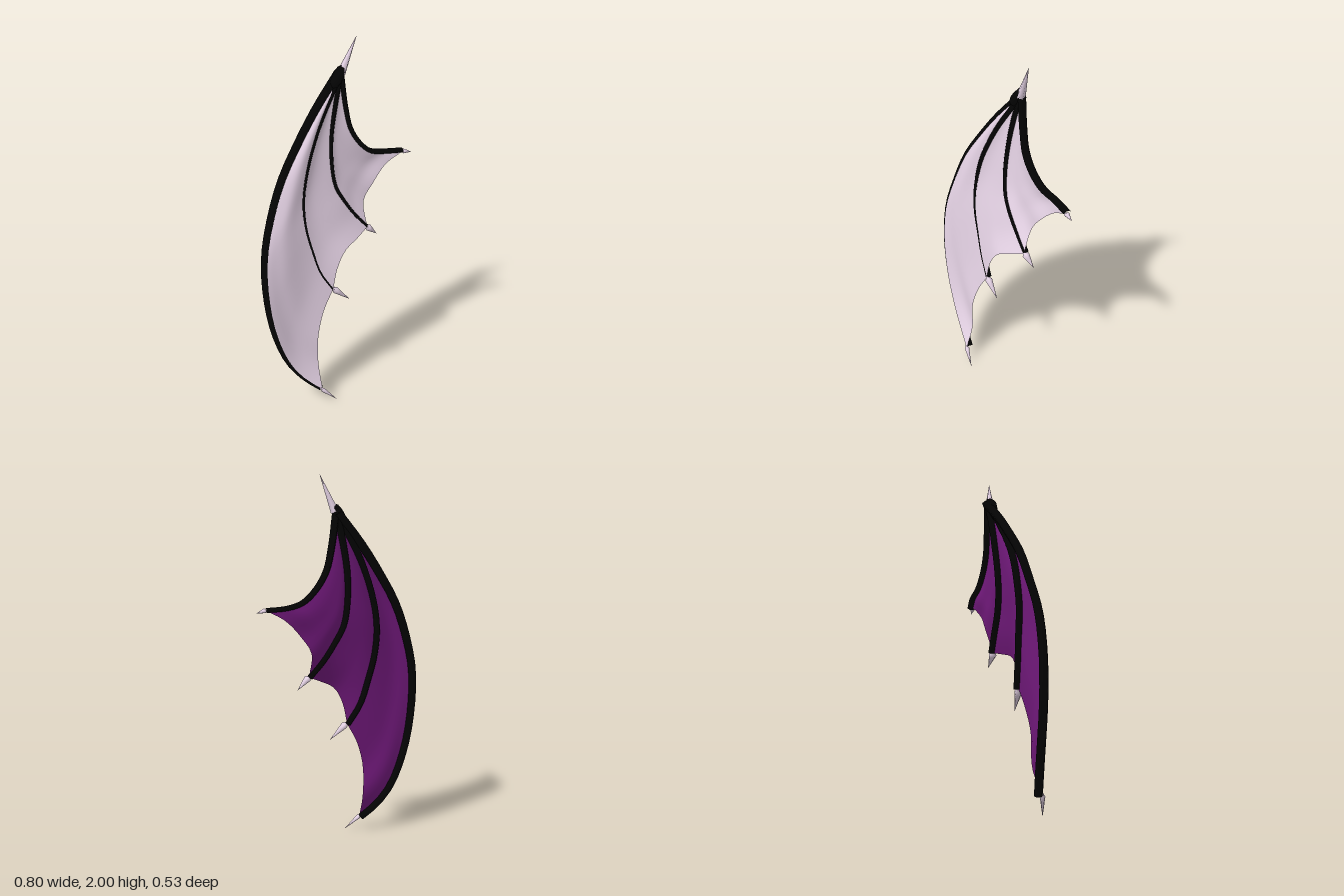
import * as THREE from 'three';

const V = (x, y, z) => new THREE.Vector3(x, y, z);
// direction the wing's inner face looks towards
const N = V(0.55, 0, 0.83).normalize();
const curve = pts => new THREE.CatmullRomCurve3(pts.map(p => V(...p)));

function makeGeometry(pos, idx) {
  const g = new THREE.BufferGeometry();
  g.setAttribute('position', new THREE.Float32BufferAttribute(pos, 3));
  g.setIndex(idx);
  g.computeVertexNormals();
  return g;
}

// elliptical section swept along a path; size(t) scales the section
function sweep(path, steps, sides, width, depth, offset, size) {
  const pos = [], idx = [];
  for (let i = 0; i <= steps; i++) {
    const t = i / steps, c = path.getPointAt(t).addScaledVector(N, offset);
    const T = path.getTangentAt(t);
    const S = T.clone().cross(N).normalize();
    const D = S.clone().cross(T).normalize();
    for (let k = 0; k < sides; k++) {
      const a = (k / sides) * Math.PI * 2, r = size(t);
      const p = c.clone().addScaledVector(D, Math.cos(a) * depth * r)
        .addScaledVector(S, Math.sin(a) * width * r);
      pos.push(p.x, p.y, p.z);
    }
  }
  for (let i = 0; i < steps; i++) for (let k = 0; k < sides; k++) {
    const n = (k + 1) % sides;
    const a = i * sides + k, b = i * sides + n, c = b + sides, d = a + sides;
    idx.push(a, b, c, a, c, d);
  }
  return makeGeometry(pos, idx);
}

// skin stretched between two bones, ending in a scalloped edge
function membrane(A, B, edge, billow, lift, flip) {
  const nu = 14, nt = 28, pos = [], idx = [];
  const a1 = A.getPointAt(1), b1 = B.getPointAt(1);
  for (let i = 0; i <= nu; i++) for (let j = 0; j <= nt; j++) {
    const u = i / nu, t = j / nt;
    const p = A.getPointAt(t).lerp(B.getPointAt(t), u);
    const pull = edge.getPointAt(u).sub(a1.clone().lerp(b1, u));
    p.addScaledVector(pull, t ** 3);
    p.addScaledVector(N, lift + billow * Math.sin(Math.PI * u) * Math.sin(Math.PI * t));
    pos.push(p.x, p.y, p.z);
  }
  for (let i = 0; i < nu; i++) for (let j = 0; j < nt; j++) {
    const a = i * (nt + 1) + j, b = a + 1, d = a + nt + 1, c = d + 1;
    if (flip) idx.push(a, c, b, a, d, c);
    else idx.push(a, b, c, a, c, d);
  }
  return makeGeometry(pos, idx);
}

export function createModel() {
  const wing = new THREE.Group();
  wing.name = 'wing';
  const mat = (name, color) => {
    const m = new THREE.MeshStandardMaterial({ color });
    m.name = name;
    return m;
  };
  const black = mat('bone black', 0x040404);
  const pale = mat('pale lilac', 0xecd9ec);
  const purple = mat('deep purple', 0x741a7e);
  const add = (name, geo, m) => {
    const mesh = new THREE.Mesh(geo, m);
    mesh.name = name;
    wing.add(mesh);
  };

  // bone paths, all starting at the wrist
  const wrist = [0.01, 1.81, -0.09];
  const bones = {
    outerFinger: {
      path: curve([wrist, [-0.105, 1.645, -0.005], [-0.2, 1.48, 0.068], [-0.28, 1.315, 0.135],
        [-0.338, 1.12, 0.19], [-0.37, 0.93, 0.235], [-0.366, 0.7, 0.254], [-0.33, 0.47, 0.248],
        [-0.26, 0.27, 0.225], [-0.185, 0.165, 0.207], [-0.095, 0.085, 0.19]]),
      tip: [-0.012, 0.005, 0.18], width: 0.021, depth: 0.028, offset: -0.021, claw: 0.013,
    },
    middleFinger: {
      path: curve([wrist, [-0.1, 1.57, 0.01], [-0.163, 1.36, 0.075], [-0.185, 1.2, 0.1],
        [-0.175, 1.05, 0.11], [-0.14, 0.9, 0.1], [-0.1, 0.77, 0.09], [-0.035, 0.66, 0.075]]),
      tip: [0.055, 0.575, 0.037], width: 0.017, depth: 0.024, offset: -0.013, claw: 0.02,
    },
    innerFinger: {
      path: curve([wrist, [-0.02, 1.65, -0.06], [-0.04, 1.5, -0.04], [-0.04, 1.35, -0.025],
        [-0.02, 1.22, -0.022], [0.025, 1.13, -0.035], [0.08, 1.04, -0.06], [0.15, 0.953, -0.088]]),
      tip: [0.205, 0.89, -0.128], width: 0.017, depth: 0.024, offset: -0.012, claw: 0.02,
    },
    arm: {
      path: curve([wrist, [0.033, 1.63, -0.095], [0.06, 1.51, -0.104], [0.11, 1.42, -0.13],
        [0.17, 1.36, -0.167], [0.24, 1.338, -0.21], [0.345, 1.33, -0.244]]),
      tip: [0.39, 1.315, -0.262], width: 0.015, depth: 0.028, offset: -0.009, claw: 0.014,
    },
  };

  // bones and the claw at the end of each
  for (const [name, b] of Object.entries(bones)) {
    add(name + 'Bone', sweep(b.path, 26, 6, b.width, b.depth, b.offset,
      t => 1.05 - 0.25 * t), black);
    const end = b.path.getPointAt(1), back = end.clone().lerp(b.path.getPointAt(0.97), 0.4);
    const claw = new THREE.LineCurve3(back, V(...b.tip));
    add(name + 'Claw', sweep(claw, 5, 5, b.claw, b.claw * 1.15, 0,
      t => (t === 0 ? 0 : 1.2 * (1 - t))), pale);
  }

  // wrist knuckle and its upright claw
  const knuckle = new THREE.LineCurve3(V(-0.04, 1.735, -0.06), V(0.022, 1.855, -0.098));
  add('wristKnuckle', sweep(knuckle, 6, 7, 0.027, 0.034, 0,
    t => Math.sqrt(Math.max(0, 1 - (2 * t - 1) ** 2))), black);
  const thumb = new THREE.LineCurve3(V(0.01, 1.81, -0.092), V(0.087, 2, -0.11));
  add('wristClaw', sweep(thumb, 6, 5, 0.022, 0.026, 0, t => 1 - t), pale);

  // skin panels: pale inside, purple outside
  const { outerFinger, middleFinger, innerFinger, arm } = bones;
  const end = b => b.path.getPointAt(1).toArray();
  const panels = [
    ['outerPanel', outerFinger, middleFinger,
      [[-0.117, 0.22, 0.148], [-0.117, 0.4, 0.143], [-0.085, 0.55, 0.11]], 0.018],
    ['middlePanel', middleFinger, innerFinger,
      [[-0.012, 0.78, 0.06], [0.03, 0.87, 0.03], [0.1, 0.92, -0.03]], -0.012],
    ['innerPanel', innerFinger, arm,
      [[0.13, 1.09, -0.13], [0.18, 1.18, -0.158], [0.25, 1.27, -0.208]], -0.01],
  ];
  for (const [name, a, b, pts, billow] of panels) {
    const edge = curve([end(a), ...pts, end(b)]);
    add(name + 'Inside', membrane(a.path, b.path, edge, billow, 0.003, false), pale);
    add(name + 'Outside', membrane(a.path, b.path, edge, billow, -0.003, true), purple);
  }
  return wing;
}
